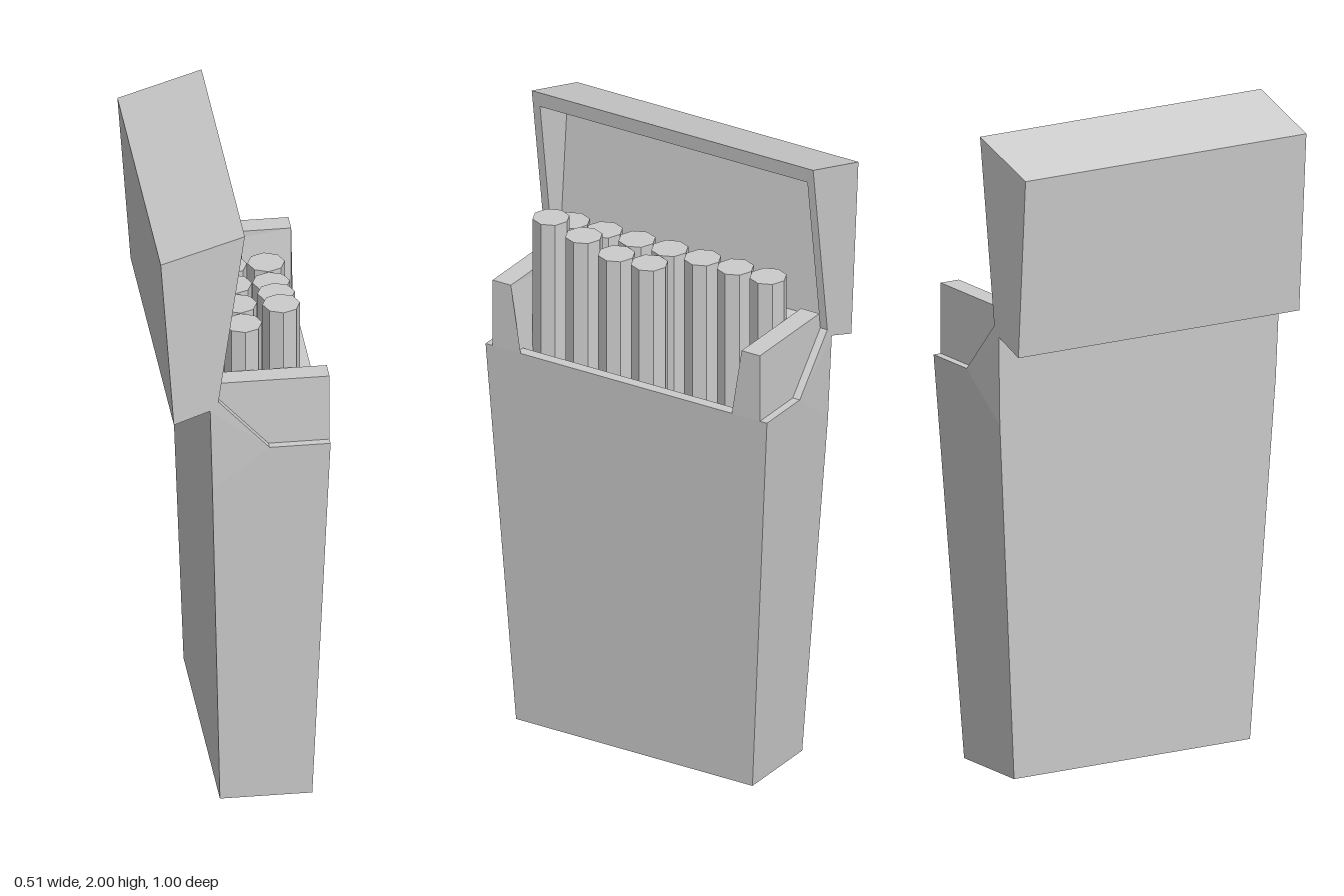
import * as THREE from 'three';

const material = new THREE.MeshStandardMaterial({ color: 0xcccccc, flatShading: true });

function addMesh(parent, name, geometry) {
  geometry.computeVertexNormals();
  const mesh = new THREE.Mesh(geometry, material);
  mesh.name = name;
  parent.add(mesh);
  return mesh;
}

// Tapered block between two level rectangles [y, x0, x1, half width in z]
function block(lower, upper) {
  const g = new THREE.BoxGeometry(1, 1, 1);
  const p = g.attributes.position;
  for (let i = 0; i < p.count; i++) {
    const [y, x0, x1, w] = p.getY(i) < 0 ? lower : upper;
    p.setXYZ(i, p.getX(i) < 0 ? x0 : x1, y, p.getZ(i) < 0 ? -w : w);
  }
  return g;
}

// Profile in x/y given thickness in z; near and far may vary with x and y
function plate(profile, near, far) {
  const shape = new THREE.Shape(profile.map(([x, y]) => new THREE.Vector2(x, y)));
  const g = new THREE.ExtrudeGeometry(shape, { depth: 1, bevelEnabled: false });
  const p = g.attributes.position;
  for (let i = 0; i < p.count; i++) {
    const x = p.getX(i), y = p.getY(i);
    p.setZ(i, p.getZ(i) < 0.5 ? near(x, y) : far(x, y));
  }
  return g;
}

// The same plate on both ends of the pack
function mirroredPlates(parent, name, profile, inner, outer) {
  addMesh(parent, name + 'Left', plate(profile, inner, outer));
  addMesh(parent, name + 'Right', plate(profile, (x, y) => -outer(x, y), (x, y) => -inner(x, y)));
}

export function createModel() {
  const pack = new THREE.Group();
  pack.name = 'openPack';

  // Tapered box with a recess at the top
  const body = new THREE.Group();
  body.name = 'body';
  pack.add(body);
  addMesh(body, 'lowerBody', block([0, -0.07, 0.21, 0.42], [1.12, -0.102, 0.25, 0.491]));
  addMesh(body, 'frontWall', block([1.12, 0.215, 0.25, 0.48], [1.26, 0.22, 0.255, 0.48]));
  addMesh(body, 'backWall', block([1.12, -0.102, -0.065, 0.48], [1.4, -0.11, -0.075, 0.48]));
  mirroredPlates(body, 'sideWall',
    [[0.25, 1.12], [0.255, 1.26], [0.07, 1.26], [-0.085, 1.43], [-0.11, 1.4], [-0.102, 1.12]],
    () => 0.47,
    (x, y) => 0.42 + 0.08 * Math.min(1, y / 1.26));

  // Inner shoulders that stand above the box, splayed towards the front
  mirroredPlates(body, 'shoulder',
    [[0.25, 1.12], [0.255, 1.26], [0.255, 1.48], [-0.08, 1.48], [-0.085, 1.43], [-0.085, 1.12]],
    (x, y) => 0.41 - 0.035 * THREE.MathUtils.clamp(x / 0.255, 0, 1) * Math.min(1, (1.48 - y) / 0.22),
    () => 0.475);

  // Hinged lid, swung back and hollow towards the front
  const lid = new THREE.Group();
  lid.name = 'lid';
  pack.add(lid);
  const top = [[-0.26, 1.92], [-0.005, 2]];
  const hinge = [[-0.085, 1.43], [-0.11, 1.4], [-0.22, 1.36]];
  const hollow = [[-0.012, 1.95], [-0.165, 1.9], [-0.125, 1.44]];
  addMesh(lid, 'lidShell', plate([...top, ...hollow, ...hinge], () => -0.475, () => 0.475));
  mirroredPlates(lid, 'lidSide', [...top, ...hinge], () => 0.475, () => 0.5);

  // Eight-sided sticks in two rows: [x, z, top height]
  const sticks = new THREE.Group();
  sticks.name = 'sticks';
  pack.add(sticks);
  const pitch = 0.1165, floor = 1.1;
  const places = [];
  for (let i = -3; i <= 3; i++) places.push([0.01, i * pitch, 1.61]);
  [1.61, 1.61, 1.64, 1.67].forEach((h, i) => places.push([0.125, i * pitch, h]));
  for (const [x, z, h] of places) {
    const stick = addMesh(sticks, 'stick', new THREE.CylinderGeometry(0.057, 0.057, h - floor, 8));
    stick.position.set(x, (h + floor) / 2, z);
  }

  return pack;
}
